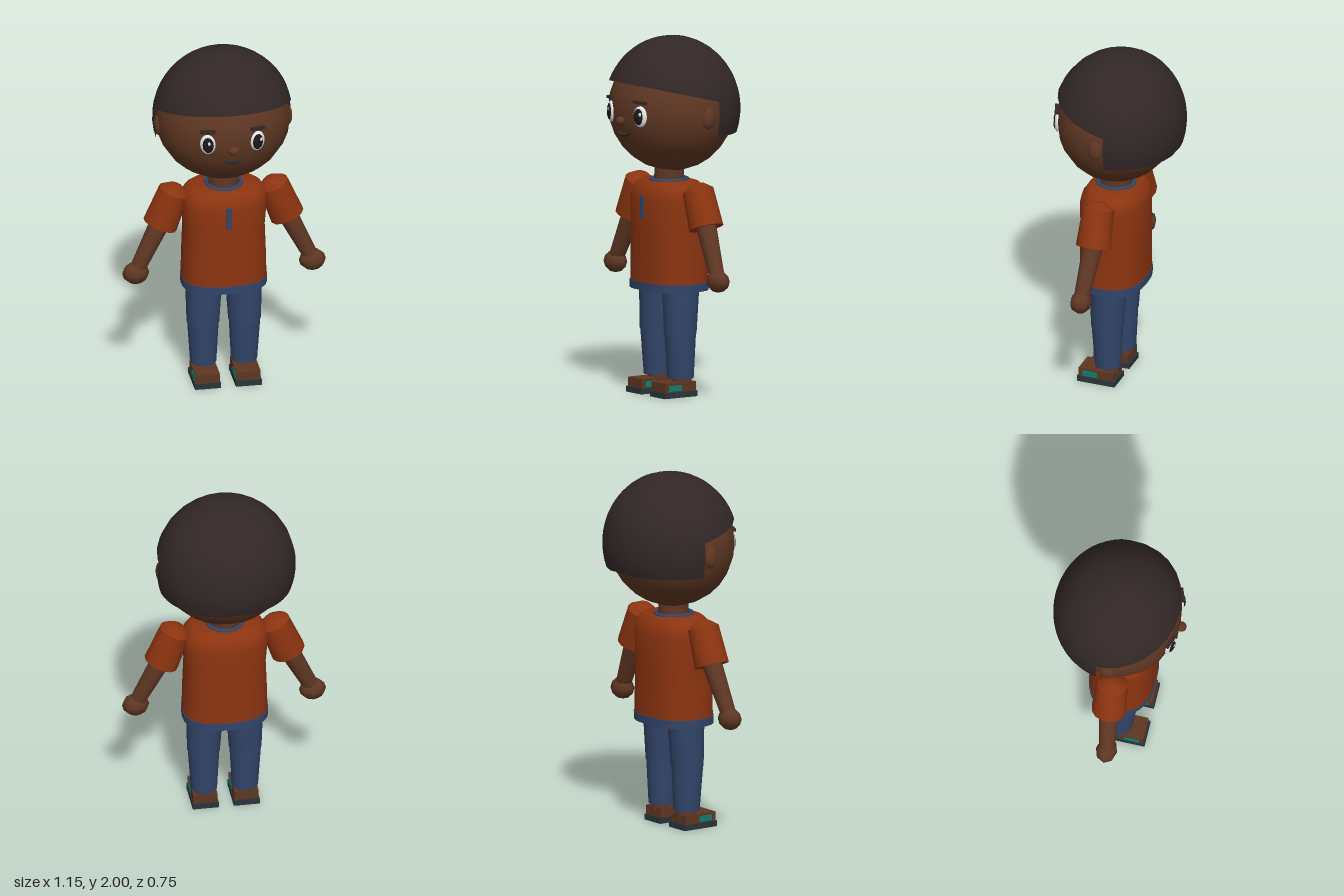
import * as THREE from 'three';
import { mergeVertices, toCreasedNormals } from 'three/addons/utils/BufferGeometryUtils.js';

const mat = (name, color, side = THREE.FrontSide) => {
  const m = new THREE.MeshStandardMaterial({ color, side });
  m.name = name;
  return m;
};

// Surface from a rule fn(u, v) -> [x, y, z]; the outside faces dv x du
function surface(fn, nu, nv, crease = 0.7) {
  const pos = [], idx = [];
  for (let j = 0; j <= nv; j++)
    for (let i = 0; i <= nu; i++) pos.push(...fn(i / nu, j / nv));
  for (let j = 0; j < nv; j++)
    for (let i = 0; i < nu; i++) {
      const a = j * (nu + 1) + i, b = a + 1, c = a + nu + 1, d = c + 1;
      idx.push(a, c, b, b, c, d);
    }
  const g = new THREE.BufferGeometry();
  g.setAttribute('position', new THREE.Float32BufferAttribute(pos, 3));
  g.setIndex(idx);
  return toCreasedNormals(mergeVertices(g), crease);
}

// Stacked rounded-rectangle sections, each row [y, halfWidth, halfDepth]
function loft(rows, cz) {
  const round = (t) => Math.sign(t) * Math.abs(t) ** 0.8;
  return surface((u, v) => {
    const [y, rx, rz] = rows[Math.round(v * (rows.length - 1))];
    const a = u * Math.PI * 2;
    return [rx * round(Math.cos(a)), y, cz + rz * round(Math.sin(a))];
  }, 28, rows.length - 1);
}

function ellipsoid(rx, ry, rz, w = 20, h = 14) {
  return new THREE.SphereGeometry(1, w, h).scale(rx, ry, rz);
}

// Tapered limb between two points
function limb(a, b, ra, rb, sides = 14) {
  const A = new THREE.Vector3(...a), B = new THREE.Vector3(...b);
  const dir = A.clone().sub(B);
  const g = new THREE.CylinderGeometry(ra, rb, dir.length(), sides);
  g.applyQuaternion(new THREE.Quaternion().setFromUnitVectors(new THREE.Vector3(0, 1, 0), dir.normalize()));
  const m = A.add(B).multiplyScalar(0.5);
  return g.translate(m.x, m.y, m.z);
}

export function createModel() {
  const skin = mat('skin', 0x5f3723);
  const hair = mat('hair', 0x322727, THREE.DoubleSide);
  const shirt = mat('shirt orange', 0x8c3410, THREE.DoubleSide);
  const denim = mat('denim blue', 0x32456a);
  const white = mat('eye white', 0xe6e6e6);
  const black = mat('pupil black', 0x1b191b);
  const leather = mat('shoe brown', 0x5e3621);
  const sole = mat('sole grey', 0x28343a);
  const teal = mat('teal', 0x0c8070);

  const model = new THREE.Group();
  model.name = 'child';
  const add = (name, geo, m, p = [0, 0, 0], parent = model) => {
    const mesh = new THREE.Mesh(geo, m);
    mesh.name = name;
    mesh.position.set(...p);
    parent.add(mesh);
    return mesh;
  };

  // Head, nose and neck
  add('head', ellipsoid(0.375, 0.35, 0.337, 20, 14), skin, [0, 1.6, 0]);
  add('nose', ellipsoid(0.03, 0.025, 0.028, 10, 8), skin, [0, 1.55, 0.343]);
  add('neck', new THREE.CylinderGeometry(0.083, 0.085, 0.16, 16), skin, [0, 1.22, 0.015]);

  // Hair: a tilted cap over the crown plus a longer panel behind the ears
  const cap = new THREE.SphereGeometry(1, 28, 14, 0, Math.PI * 2, 0, 1.371);
  add('hairCap', cap.rotateX(-0.219).scale(0.39, 0.4, 0.37), hair, [0, 1.6, -0.005]);
  add('hairBack', surface((u, v) => {
    const s = THREE.MathUtils.lerp(0.135, Math.PI / 2, v);
    const k = Math.max(Math.cos(s), 0.001);
    const low = Math.asin(Math.max(-1, -0.13 / (0.402 * k)));
    const a = low + u * (Math.PI - 2 * low);
    return [0.393 * k * Math.cos(a), 1.6 + 0.402 * k * Math.sin(a), -0.005 - 0.372 * Math.sin(s)];
  }, 28, 14), hair);

  // Mouth: a small crescent following the face
  const smile = new THREE.Shape();
  smile.moveTo(-0.052, 0.012);
  smile.quadraticCurveTo(-0.02, 0, 0, 0.004);
  smile.quadraticCurveTo(0.02, 0, 0.052, 0.012);
  smile.quadraticCurveTo(0, -0.034, -0.052, 0.012);
  const mouth = add('mouth', new THREE.ExtrudeGeometry(smile, { depth: 0.025, bevelEnabled: false }), hair, [0, 1.476, 0.302]);
  mouth.rotation.x = 0.3;

  // Shirt, hem, collar and placket
  add('shirt', loft([[0.61, 0.238, 0.182], [0.8, 0.233, 0.182], [0.95, 0.227, 0.182], [1.1, 0.24, 0.181],
    [1.14, 0.234, 0.172], [1.175, 0.215, 0.15], [1.195, 0.185, 0.132], [1.2, 0.09, 0.09]], 0.015), shirt);
  add('hem', loft([[0.59, 0.215, 0.16], [0.59, 0.24, 0.185], [0.635, 0.241, 0.186], [0.635, 0.225, 0.17]], 0.015), denim);
  add('hips', loft([[0.62, 0.002, 0.002], [0.62, 0.22, 0.165], [0.6, 0.22, 0.165], [0.6, 0.002, 0.002]].reverse(), 0.015), skin);
  add('collar', new THREE.TorusGeometry(0.098, 0.012, 8, 24).rotateX(Math.PI / 2).scale(1, 1, 1.05), denim, [0, 1.2, 0.015]);
  add('placket', new THREE.BoxGeometry(0.028, 0.13, 0.009), denim, [0, 1.055, 0.198]);

  for (const s of [1, -1]) {
    const side = s > 0 ? 'left' : 'right';

    // Ear
    add(side + 'Ear', ellipsoid(0.025, 0.06, 0.043, 14, 10), skin, [s * 0.364, 1.577, 0]);

    // Eye with pupil, highlight and brow, turned to sit on the face
    const eye = new THREE.Group();
    eye.name = side + 'Eye';
    eye.position.set(s * 0.14, 1.587, 0.308);
    eye.rotation.y = s * 0.36;
    model.add(eye);
    add('eyeWhite', ellipsoid(0.044, 0.059, 0.02), white, [0, 0, 0], eye);
    add('pupil', ellipsoid(0.032, 0.046, 0.012), black, [-s * 0.004, 0, 0.012], eye);
    add('highlight', ellipsoid(0.009, 0.011, 0.004, 10, 8), white, [0.012, 0.014, 0.022], eye);
    const brow = add('brow', new THREE.BoxGeometry(0.085, 0.016, 0.02), hair, [0, 0.079, 0.006], eye);
    brow.rotation.z = -s * 0.08;

    // Sleeve: tapered tube with a bevelled shoulder
    const profile = [[0, 0.01], [0.098, 0], [0.088, 0.215], [0.04, 0.252], [0, 0.256]].map((p) => new THREE.Vector2(...p));
    const sleeve = add(side + 'Sleeve', toCreasedNormals(new THREE.LatheGeometry(profile, 14), 0.6), shirt, [s * 0.357, 0.965, 0.013]);
    sleeve.rotation.z = s * 0.375;

    // Forearm and hand
    add(side + 'Forearm', limb([s * 0.345, 1.0, 0.012], [s * 0.49, 0.705, 0.032], 0.058, 0.043), skin);
    add(side + 'Hand', ellipsoid(0.076, 0.063, 0.06, 8, 6), skin, [s * 0.497, 0.684, 0.032]);

    // Trouser leg in two sections
    add(side + 'Thigh', limb([s * 0.112, 0.62, 0.015], [s * 0.117, 0.35, 0.022], 0.104, 0.091, 18), denim);
    add(side + 'Shin', limb([s * 0.117, 0.352, 0.022], [s * 0.115, 0.1, 0.018], 0.088, 0.073, 18), denim);
    add(side + 'Ankle', limb([s * 0.115, 0.12, 0.01], [s * 0.115, 0.06, 0.01], 0.055, 0.055), skin);

    // Shoe with sole and side patches
    const shoe = new THREE.Group();
    shoe.name = side + 'Shoe';
    shoe.position.set(s * 0.115, 0, 0.064);
    model.add(shoe);
    add('sole', new THREE.BoxGeometry(0.146, 0.032, 0.222), sole, [0, 0.016, 0], shoe);
    add('upper', new THREE.BoxGeometry(0.136, 0.052, 0.205), leather, [0, 0.058, 0], shoe);
    for (const e of [1, -1])
      add('patch', new THREE.BoxGeometry(0.006, 0.032, 0.085), teal, [e * 0.069, 0.054, 0.036], shoe);
  }
  return model;
}
